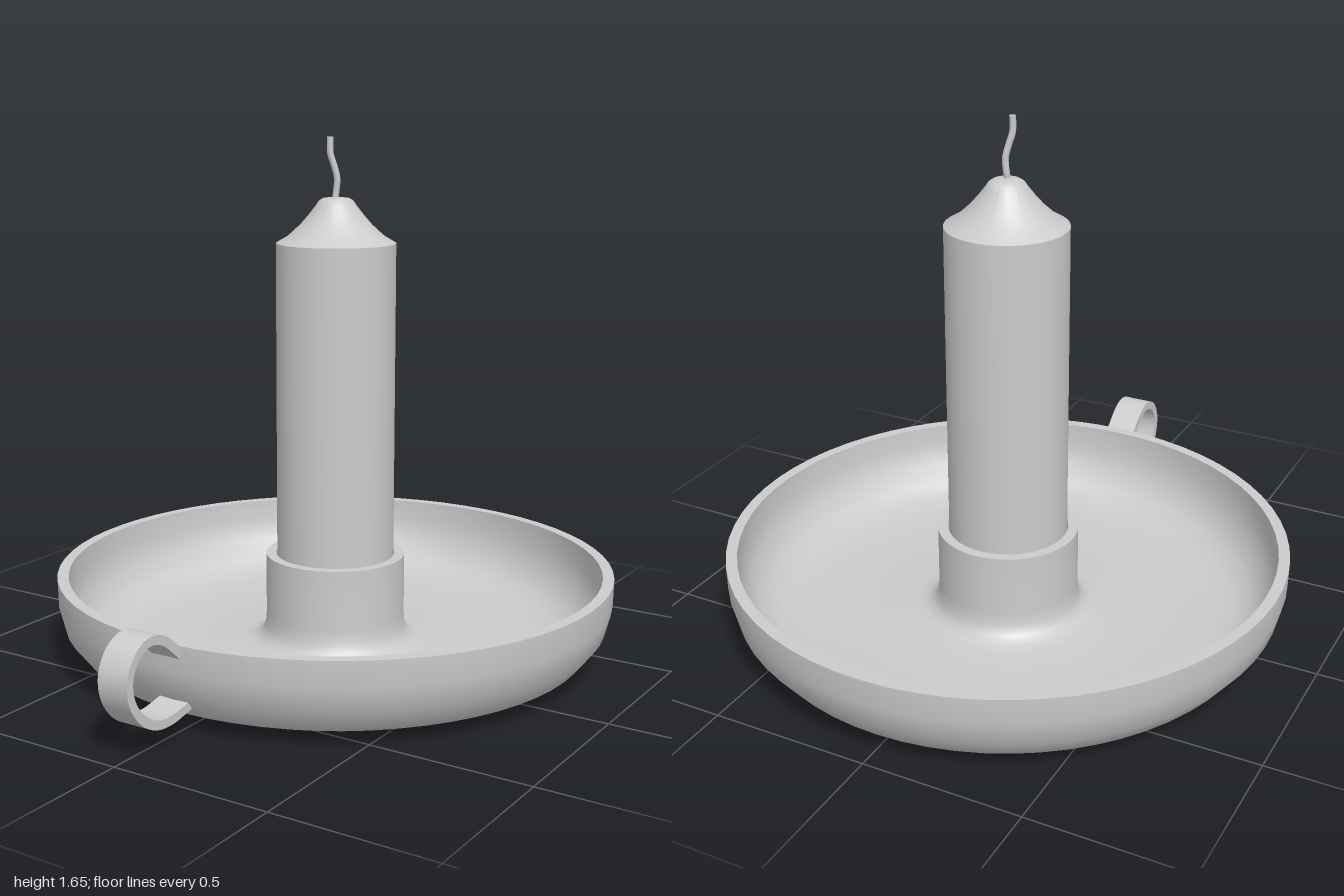
import * as THREE from 'three';
import { toCreasedNormals } from 'three/addons/utils/BufferGeometryUtils.js';

const AXIS_Z = -0.115; // the dish and candle sit behind centre, the handle reaches forward

export function createModel() {
  const group = new THREE.Group();
  group.name = 'candleHolder';
  const material = new THREE.MeshStandardMaterial({ color: 0xcccccc });

  const add = (name, geometry, z = 0) => {
    const mesh = new THREE.Mesh(geometry, material);
    mesh.name = name;
    mesh.position.z = z;
    group.add(mesh);
  };
  const turned = (profile) => toCreasedNormals(
    new THREE.LatheGeometry(profile.map(([r, y]) => new THREE.Vector2(r, y)), 64), 0.7);

  // Dish with rolled-up wall and the candle socket, one closed profile
  add('dishAndSocket', turned([
    [0, 0], [0.635, 0.002], [0.75, 0.024], [0.81, 0.05], [0.865, 0.12], [0.885, 0.2], [0.887, 0.282],
    [0.852, 0.282], [0.85, 0.21], [0.832, 0.14], [0.785, 0.078], [0.73, 0.053], [0.655, 0.04],
    [0.3, 0.04], [0.265, 0.046], [0.238, 0.062], [0.225, 0.09], [0.222, 0.13],
    [0.222, 0.325], [0.19, 0.325], [0.19, 0.05], [0, 0.05],
  ]), AXIS_Z);

  // Candle with a concave shoulder and a small rounded tip
  add('candle', turned([
    [0, 0.06], [0.187, 0.06], [0.187, 1.32], [0.15, 1.342], [0.112, 1.377], [0.085, 1.408],
    [0.064, 1.435], [0.054, 1.45], [0.042, 1.458], [0.02, 1.461], [0, 1.461],
  ]), AXIS_Z);

  // Wavy wick, closed at the top by a small disc
  const wickPath = new THREE.CatmullRomCurve3([
    [0, 1.44, -0.104], [0.004, 1.48, -0.109], [0.007, 1.52, -0.109], [-0.001, 1.56, -0.103],
    [-0.01, 1.595, -0.097], [-0.011, 1.645, -0.097],
  ].map((p) => new THREE.Vector3(...p)));
  add('wick', new THREE.TubeGeometry(wickPath, 28, 0.01, 10));
  const cap = new THREE.CircleGeometry(0.01, 10).rotateX(-Math.PI / 2);
  cap.translate(-0.011, 1.645, -0.097);
  add('wickEnd', cap);

  // Loop handle: a thin band offset to both sides of its centre line, extruded across x
  const loop = new THREE.SplineCurve([
    [0.75, 0.243], [0.79, 0.28], [0.84, 0.319], [0.895, 0.332], [0.95, 0.308], [0.984, 0.25],
    [0.977, 0.182], [0.935, 0.122], [0.875, 0.086], [0.81, 0.079], [0.75, 0.089], [0.705, 0.1],
  ].map((p) => new THREE.Vector2(...p)));
  const outer = [], inner = [];
  for (let i = 0; i <= 44; i++) {
    const p = loop.getPoint(i / 44), t = loop.getTangent(i / 44);
    const n = new THREE.Vector2(-t.y, t.x).multiplyScalar(0.0135);
    outer.push(p.clone().add(n));
    inner.unshift(p.clone().sub(n));
  }
  const band = new THREE.ExtrudeGeometry(new THREE.Shape([...outer, ...inner]),
    { depth: 0.1, bevelEnabled: false });
  band.translate(0, 0, -0.05).rotateY(-Math.PI / 2);
  add('handle', toCreasedNormals(band, 0.7));

  return group;
}
